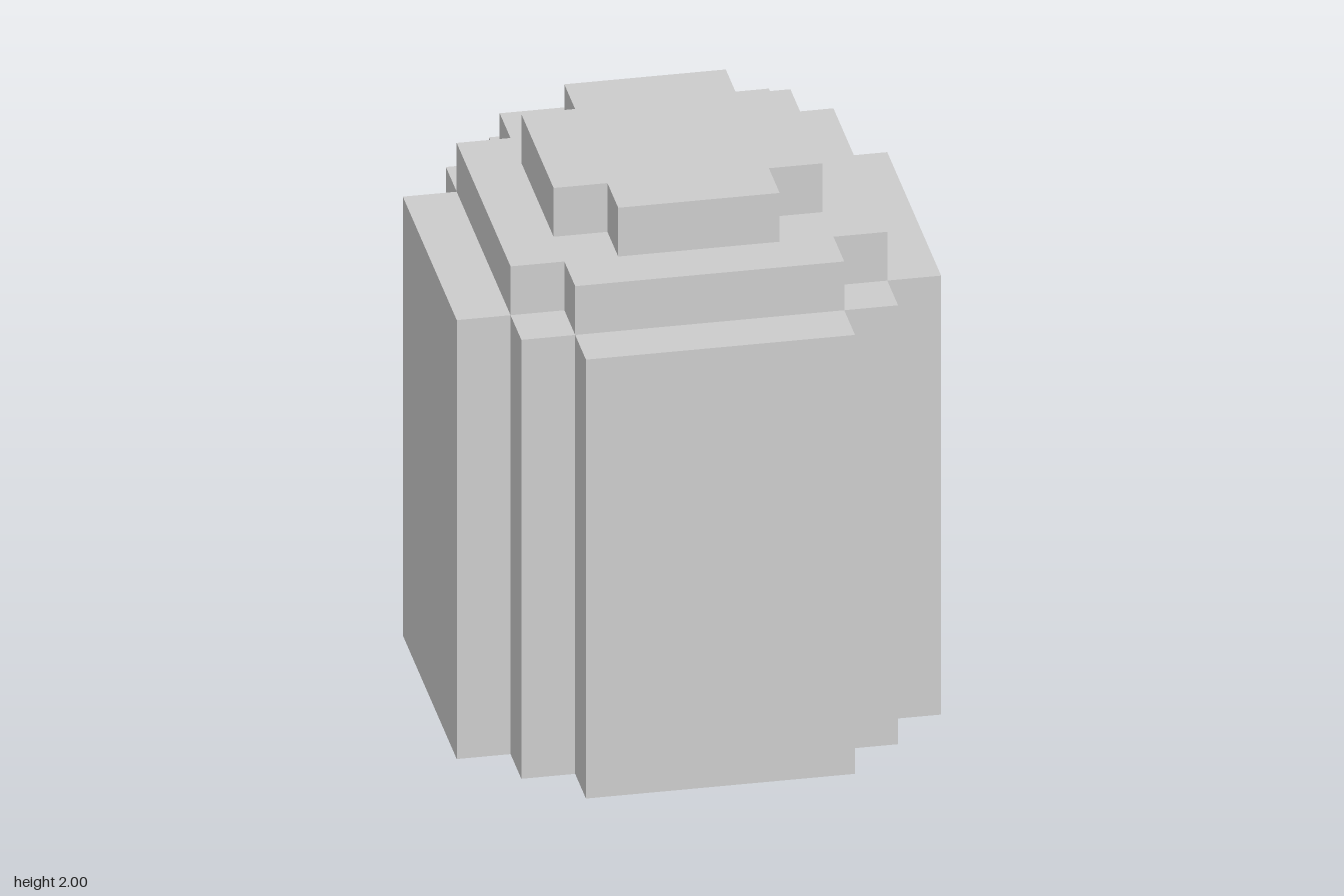
import * as THREE from 'three';

// One block of the grid: the model is 11 blocks tall
const U = 2 / 11;

// Stepped plan, symmetric in four quarters. `steps` are half-widths, widest first:
// the outline walks inward in x as it walks outward in z.
function steppedPlan(steps) {
  const n = steps.length;
  const corner = [];
  for (let i = 0; i < n; i++) {
    corner.push([steps[i], steps[n - 1 - i]]);
    if (i < n - 1) corner.push([steps[i + 1], steps[n - 1 - i]]);
  }
  // Repeat the corner by quarter turns
  const points = [];
  for (let q = 0; q < 4; q++) {
    for (const [x, y] of corner) {
      let p = [x, y];
      for (let k = 0; k < q; k++) p = [-p[1], p[0]];
      points.push(new THREE.Vector2(p[0] * U, p[1] * U));
    }
  }
  return new THREE.Shape(points);
}

export function createModel() {
  const model = new THREE.Group();
  model.name = 'steppedBlockTower';
  const material = new THREE.MeshStandardMaterial({ color: 0xcccccc, flatShading: true });

  // Tiers from the ground up: half-widths, base and height in blocks
  const tiers = [
    { name: 'body', steps: [4.5, 3.5, 2.5], base: 0, height: 9 },
    { name: 'shoulder', steps: [3.5, 2.5], base: 9, height: 1 },
    { name: 'cap', steps: [2.5, 1.5], base: 10, height: 1 },
  ];

  for (const { name, steps, base, height } of tiers) {
    const geometry = new THREE.ExtrudeGeometry(steppedPlan(steps), {
      depth: height * U,
      bevelEnabled: false,
    });
    geometry.rotateX(-Math.PI / 2);
    const mesh = new THREE.Mesh(geometry, material);
    mesh.name = name;
    mesh.position.y = base * U;
    model.add(mesh);
  }
  return model;
}
